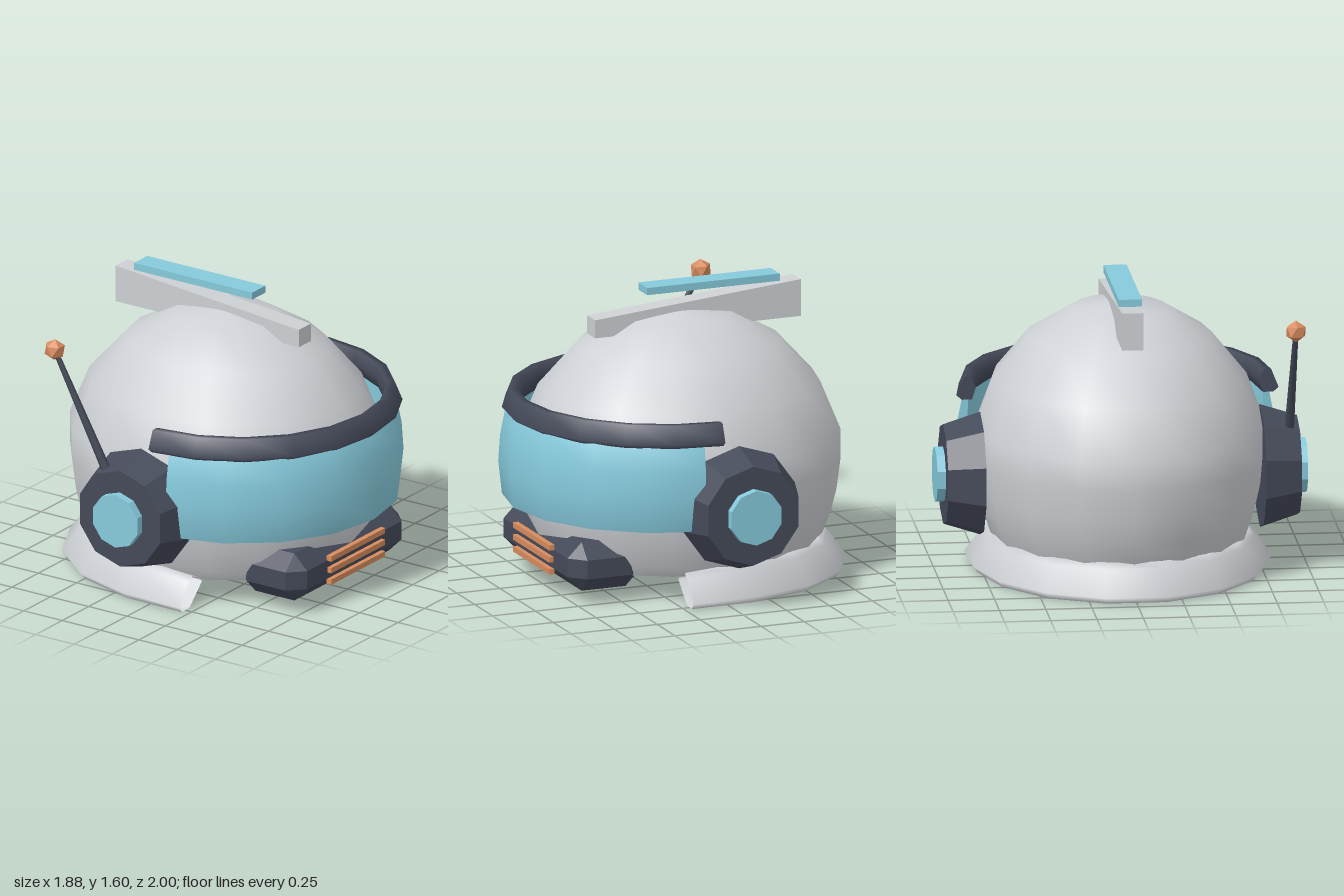
import * as THREE from 'three';
import { ConvexGeometry } from 'three/addons/geometries/ConvexGeometry.js';

const material = (name, color, extra = {}) =>
  Object.assign(new THREE.MeshStandardMaterial({ color, ...extra }), { name });

const vectors = (pairs) => pairs.map(([x, y]) => new THREE.Vector2(x, y));

export function createModel() {
  const model = new THREE.Group();
  const grey = material('shellGrey', 0xcdd0d4, { side: THREE.DoubleSide });
  const dark = material('trimDark', 0x454a59, { side: THREE.DoubleSide });
  const cyan = material('visorCyan', 0x86cadc, { side: THREE.DoubleSide });
  const copper = material('copper', 0xd88c5e);

  const add = (name, geometry, mat, x = 0, y = 0, z = 0, parent = model) => {
    const mesh = new THREE.Mesh(geometry, mat);
    mesh.name = name;
    mesh.position.set(x, y, z);
    parent.add(mesh);
    return mesh;
  };
  // split the vertices so each side is shaded flat
  const faceted = (geometry) => {
    const flat = geometry.toNonIndexed();
    flat.computeVertexNormals();
    return flat;
  };
  // closed profile swept part of the way round
  const sweep = (profile, segments, start, length) =>
    new THREE.LatheGeometry(vectors([...profile, profile[0]]), segments, start, length);

  // swept band with capped ends
  const cappedBand = (name, profile, mat, x, zScale, start, length, segments) => {
    const group = new THREE.Group();
    group.name = name;
    group.position.x = x;
    group.scale.z = zScale;
    add(name + 'Body', sweep(profile, segments, start, length), mat, 0, 0, 0, group);
    for (const phi of [start, start + length]) {
      const cap = add(name + 'End', new THREE.ShapeGeometry(new THREE.Shape(vectors(profile))), mat, 0, 0, 0, group);
      cap.rotation.y = phi - Math.PI / 2;
    }
    model.add(group);
  };

  // open dome shell, curling in at the neck
  const shell = add('shell', new THREE.LatheGeometry(vectors([
    [0.745, 0.14], [0.785, 0.2], [0.83, 0.32], [0.86, 0.44], [0.882, 0.61], [0.882, 0.77],
    [0.77, 1.04], [0.56, 1.27], [0.29, 1.42], [0, 1.46],
  ]), 16), grey, -0.04);
  shell.scale.z = 0.89;

  // hollow collar round the back of the neck, its ends running straight forward
  const reach = THREE.MathUtils.degToRad(107);
  const collar = sweep([
    [0.88, 0], [0.91, 0.035], [0.81, 0.17], [0.77, 0.2], [0.7, 0.17], [0.67, 0.135], [0.8, 0.005],
  ], 9, 1.5 * Math.PI - reach, 2 * reach);
  const spots = collar.attributes.position;
  for (let i = 0; i < spots.count; i++) {
    const x = spots.getX(i);
    const z = spots.getZ(i);
    if (x > 0.1) {
      spots.setX(i, 0.26);
      spots.setZ(i, Math.sign(z) * Math.hypot(x, z));
      // the top edge dips towards the ends
      spots.setY(i, spots.getY(i) * 0.88);
    }
  }
  add('neckCollar', collar, grey, -0.05).scale.z = 0.89;

  // visor and the brow rim above it
  cappedBand('visor', [
    [0.84, 0.445], [0.87, 0.44], [0.89, 0.62], [0.88, 0.77], [0.85, 0.92], [0.82, 0.92],
  ], cyan, 0.05, 0.975, 0.12, Math.PI - 0.24, 8);
  cappedBand('browRim', [
    [0.84, 0.905], [0.87, 0.93], [0.83, 1.03], [0.79, 1.03], [0.765, 0.97], [0.785, 0.905],
  ], dark, 0.05, 1, 0, Math.PI, 10);

  // ear pods on both sides
  for (const side of [1, -1]) {
    const pod = add('earPod', faceted(new THREE.CylinderGeometry(0.275, 0.34, 0.2, 10)), dark, -0.077, 0.53, side * 0.855);
    const cap = add('earCap', faceted(new THREE.CylinderGeometry(0.152, 0.152, 0.05, 10)), cyan, -0.077, 0.53, side * 0.975);
    pod.rotation.x = cap.rotation.x = side * Math.PI / 2;
  }

  // antenna with a ball tip
  const foot = new THREE.Vector3(-0.2, 0.76, 0.9);
  const tip = new THREE.Vector3(-0.54, 1.385, 0.9);
  const along = tip.clone().sub(foot);
  const rod = add('antennaRod', new THREE.CylinderGeometry(0.014, 0.026, along.length(), 6), dark);
  rod.position.copy(foot).lerp(tip, 0.5);
  rod.quaternion.setFromUnitVectors(new THREE.Vector3(0, 1, 0), along.normalize());
  const ball = add('antennaBall', new THREE.IcosahedronGeometry(0.06), copper, tip.x, tip.y, tip.z);
  ball.rotation.z = 0.5;

  // sloping crest and the strip over it
  const crest = new THREE.ExtrudeGeometry(new THREE.Shape(vectors([
    [-0.725, 1.35], [0.47, 1.35], [0.47, 1.45], [-0.725, 1.555],
  ])), { depth: 0.114, bevelEnabled: false });
  add('crest', crest, grey, 0, 0, -0.057);
  add('crestStrip', new THREE.BoxGeometry(0.77, 0.04, 0.125), cyan, -0.215, 1.58, 0);

  // chin guard: a box with every edge chamfered
  const half = [0.21, 0.135, 0.53];
  const chamfer = 0.083;
  const corners = [];
  for (const sx of [1, -1]) for (const sy of [1, -1]) for (const sz of [1, -1]) {
    for (let axis = 0; axis < 3; axis++) {
      const [x, y, z] = half.map((h, i) => (i === axis ? h : h - chamfer));
      corners.push(new THREE.Vector3(sx * x, sy * y, sz * z));
    }
  }
  add('chinGuard', new ConvexGeometry(corners), dark, 0.583, 0.205, 0);

  // vent bars
  for (const y of [0.137, 0.203, 0.27]) {
    add('ventBar', new THREE.BoxGeometry(0.03, 0.03, 0.51), copper, 0.803, y, 0);
  }
  return model;
}
